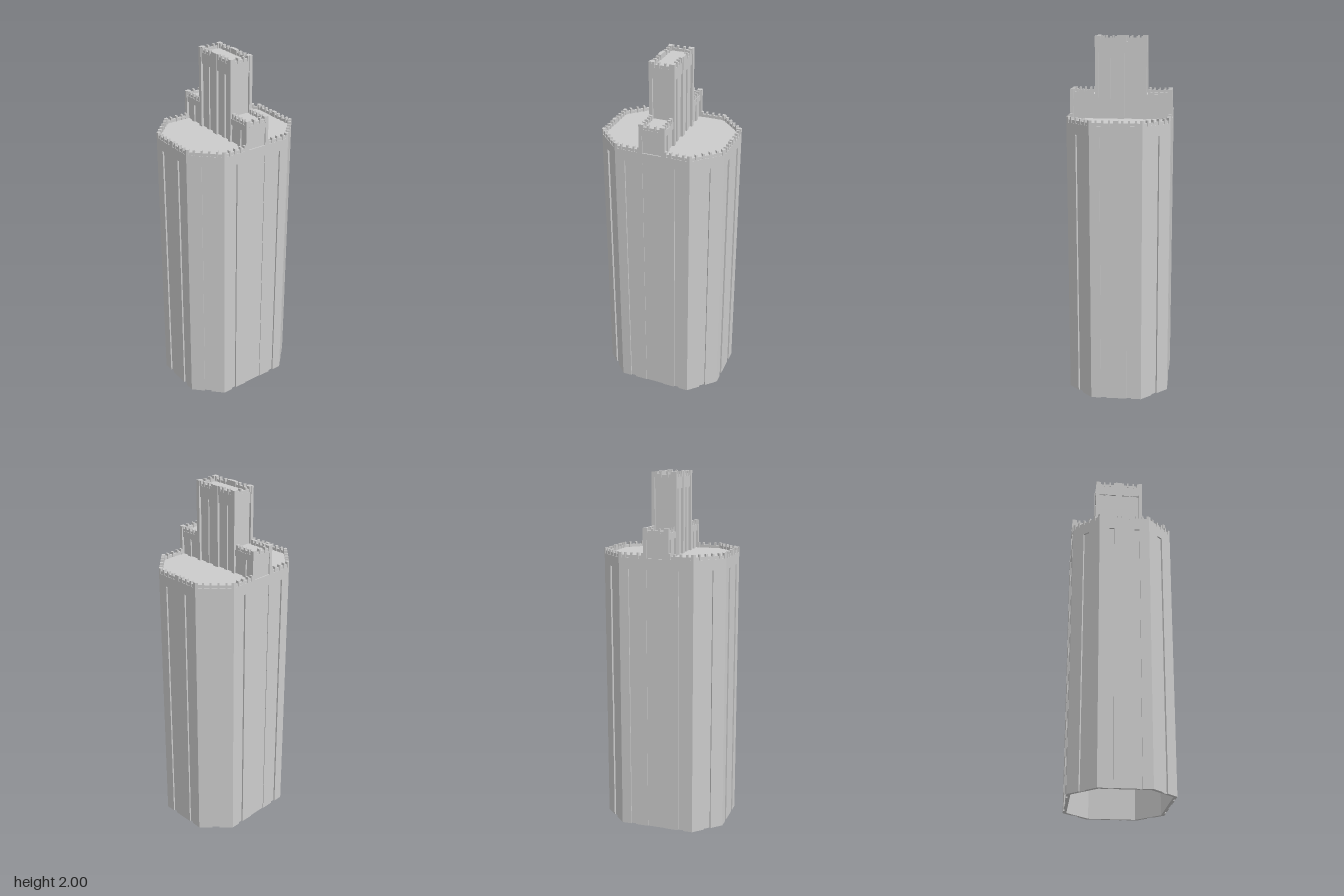
import * as THREE from 'three';

const material = new THREE.MeshStandardMaterial({ color: 0xcccccc, flatShading: true, side: THREE.DoubleSide });

function addMesh(parent, name, geometry) {
  const mesh = new THREE.Mesh(geometry, material);
  mesh.name = name;
  parent.add(mesh);
  return mesh;
}

// Box given by its min and max corners
function addBox(parent, name, x0, x1, y0, y1, z0, z1) {
  const mesh = addMesh(parent, name, new THREE.BoxGeometry(x1 - x0, y1 - y0, z1 - z0));
  mesh.position.set((x0 + x1) / 2, (y0 + y1) / 2, (z0 + z1) / 2);
  return mesh;
}

// Plan outlines are extruded upwards between two heights
function addPrism(parent, name, outline, hole, y0, y1) {
  const shape = new THREE.Shape(outline);
  if (hole) shape.holes.push(new THREE.Path(hole));
  const geometry = new THREE.ExtrudeGeometry(shape, { depth: y1 - y0, bevelEnabled: false });
  geometry.rotateX(-Math.PI / 2).translate(0, y0, 0);
  return addMesh(parent, name, geometry);
}

// Octagon with long front and back, counter-clockwise from the left side
const octagon = (x, cx, z, cz) => [
  [x, -cz], [x, cz], [cx, z], [-cx, z], [-x, cz], [-x, -cz], [-cx, -z], [cx, -z],
].map(([a, b]) => new THREE.Vector2(a, b));

// Cut rectangular notches [centre, half width, depth] into every edge
function groovedOutline(corners, groovesFor) {
  const points = [];
  corners.forEach((a, i) => {
    const b = corners[(i + 1) % corners.length];
    const dir = b.clone().sub(a).normalize();
    const inward = new THREE.Vector2(-dir.y, dir.x);
    const mid = a.clone().add(b).multiplyScalar(0.5);
    const at = (t, d) => mid.clone().addScaledVector(dir, t).addScaledVector(inward, d);
    points.push(a);
    for (const [c, half, depth] of groovesFor(i)) {
      points.push(at(c - half, 0), at(c - half, depth), at(c + half, depth), at(c + half, 0));
    }
  });
  return points;
}

// Battlement from a to b (plan x, z): low rail, small merlons and end posts
function addBattlement(parent, a, b, top, count, centreZ = 0) {
  const height = 0.03, thick = 0.018;
  const group = new THREE.Group();
  group.name = 'battlement';
  const dx = b[0] - a[0], dz = b[1] - a[1], length = Math.hypot(dx, dz);
  const mx = (a[0] + b[0]) / 2, mz = (a[1] + b[1]) / 2;
  let nx = -dz / length, nz = dx / length;
  if (nx * mx + nz * (mz - centreZ) > 0) { nx = -nx; nz = -nz; }
  group.position.set(mx + nx * thick / 2, top, mz + nz * thick / 2);
  group.rotation.y = Math.atan2(-dz, dx);
  addBox(group, 'rail', -length / 2, length / 2, -height, -0.014, -0.006, 0.006);
  for (let i = 0; i <= count + 1; i++) {
    const half = i === 0 || i === count + 1 ? 0.007 : 0.005;
    const x = THREE.MathUtils.clamp((i / (count + 1) - 0.5) * length, half - length / 2, length / 2 - half);
    addBox(group, 'merlon', x - half, x + half, -height, 0, -thick / 2, thick / 2);
  }
  parent.add(group);
}

export function createModel() {
  const model = new THREE.Group();
  model.name = 'tower';

  // Hollow main body with tall vertical grooves
  const body = new THREE.Group();
  body.name = 'mainBody';
  model.add(body);
  const outer = octagon(0.352, 0.211, 0.282, 0.141);
  const inner = octagon(0.332, 0.203, 0.262, 0.133);
  const grooved = groovedOutline(outer, (i) => {
    if (i % 2 === 1) return [[0, 0.02, 0.009]];
    if (i % 4 === 0) return [[-0.072, 0.014, 0.009], [0.072, 0.014, 0.009]];
    return [[-0.142, 0.015, 0.009], [0, 0.054, 0.004], [0.142, 0.015, 0.009]];
  });
  addPrism(body, 'groovedWall', grooved, inner, 0, 1.49);
  addPrism(body, 'upperWall', outer, inner, 1.49, 1.55);
  addPrism(body, 'roof', inner, null, 1.53, 1.55);

  // Battlements around the main roof, mirrored to all four quarters
  for (const sx of [-1, 1]) {
    for (const sz of [-1, 1]) {
      addBattlement(body, [sx * 0.068, sz * 0.282], [sx * 0.211, sz * 0.282], 1.58, 3);
      addBattlement(body, [sx * 0.211, sz * 0.282], [sx * 0.352, sz * 0.141], 1.58, 4);
      addBattlement(body, [sx * 0.352, sz * 0.141], [sx * 0.352, 0], 1.58, 3);
    }
  }

  // Low wings in front of and behind the tall keep
  for (const s of [-1, 1]) {
    const wing = new THREE.Group();
    wing.name = s > 0 ? 'frontWing' : 'backWing';
    model.add(wing);
    const zIn = s * 0.13, zOut = s * 0.276;
    addBox(wing, 'wingCore', -0.058, 0.058, 1.54, 1.685, Math.min(zIn, zOut), Math.max(zIn, zOut));
    for (const x of [-0.063, 0.063]) {
      addBox(wing, 'cornerPilaster', x - 0.009, x + 0.009, 1.53, 1.712, s * 0.273 - 0.009, s * 0.273 + 0.009);
      addBox(wing, 'wallPilaster', x - 0.004, x + 0.004, 1.54, 1.685, s * 0.212 - 0.012, s * 0.212 + 0.012);
      addBox(wing, 'sideFrieze', x - 0.004, x + 0.003, 1.65, 1.685, s * 0.21 - 0.07, s * 0.21 + 0.07);
      const edge = Math.sign(x) * 0.066;
      addBattlement(wing, [edge, s * 0.15], [edge, s * 0.27], 1.712, 3, s * 0.2);
    }
    addBox(wing, 'endFrieze', -0.06, 0.06, 1.65, 1.685, s * 0.276 - 0.005, s * 0.276 + 0.005);
    addBattlement(wing, [-0.06, s * 0.282], [0.06, s * 0.282], 1.712, 2);
  }

  // Tall central keep with recessed panels between pilasters
  const keep = new THREE.Group();
  keep.name = 'keep';
  model.add(keep);
  addBox(keep, 'keepCore', -0.057, 0.057, 1.54, 1.972, -0.13, 0.13);
  addBox(keep, 'keepFrieze', -0.065, 0.065, 1.91, 1.972, -0.138, 0.138);
  for (const sx of [-1, 1]) {
    addBox(keep, 'middlePilaster', sx * 0.06 - 0.01, sx * 0.06 + 0.01, 1.54, 2, -0.018, 0.018);
    for (const sz of [-1, 1]) {
      addBox(keep, 'cornerPilaster', sx * 0.062 - 0.009, sx * 0.062 + 0.009, 1.54, 2, sz * 0.132 - 0.01, sz * 0.132 + 0.01);
      addBox(keep, 'panelRib', sx * 0.06 - 0.004, sx * 0.06 + 0.004, 1.54, 1.91, sz * 0.071 - 0.012, sz * 0.071 + 0.012);
      addBattlement(keep, [sx * 0.067, sz * 0.018], [sx * 0.067, sz * 0.125], 2, 2);
    }
  }
  for (const sz of [-1, 1]) {
    addBattlement(keep, [-0.055, sz * 0.14], [0.055, sz * 0.14], 2, 2);
  }
  return model;
}
